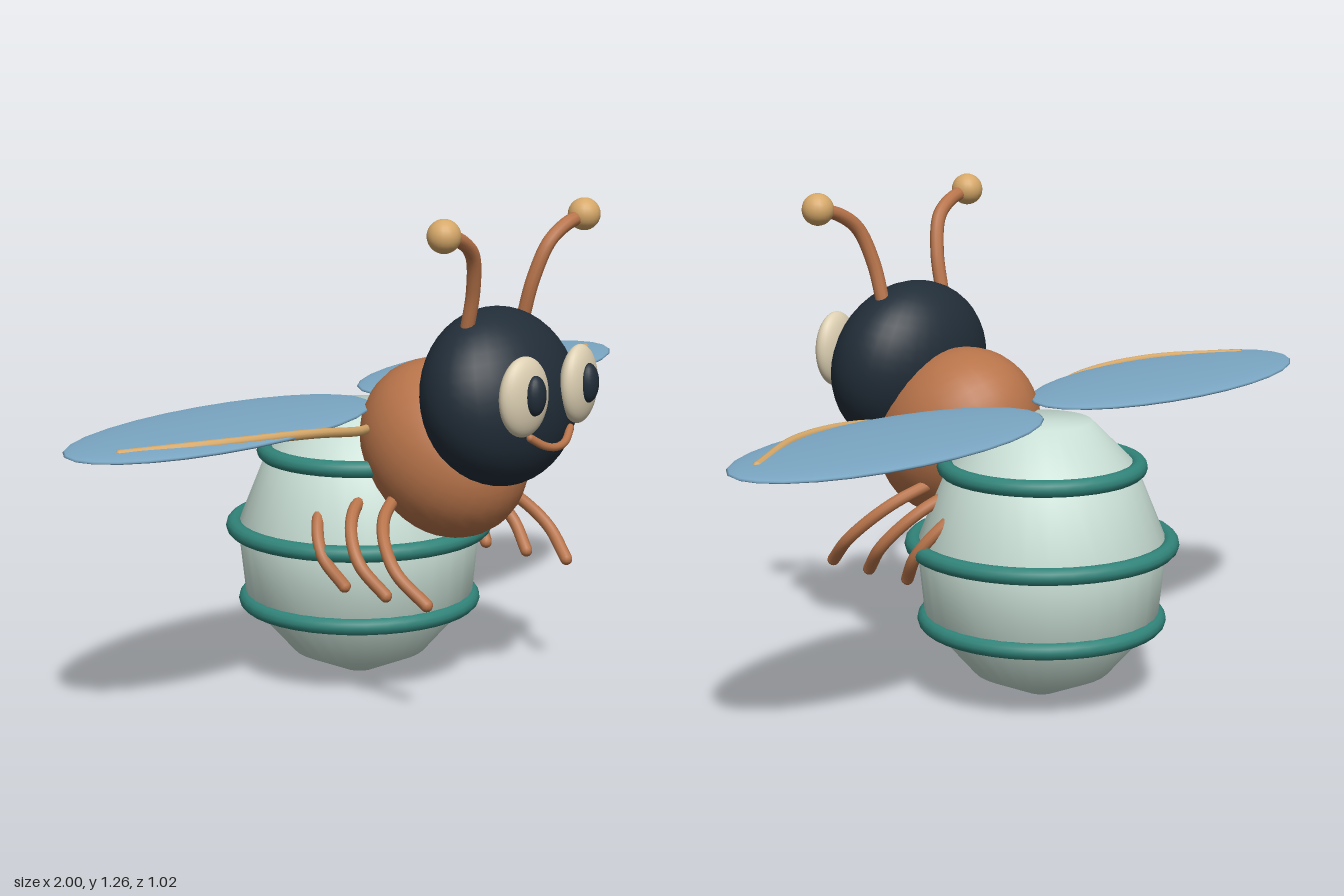
import * as THREE from 'three';

const material = (name, color) => Object.assign(new THREE.MeshStandardMaterial({ color }), { name });

export function createModel() {
  const bee = new THREE.Group();
  bee.name = 'bee';
  const mint = material('pale mint', 0xc9dfd5);
  const teal = material('teal', 0x31847a);
  const brown = material('copper brown', 0xb8744a);
  const navy = material('dark navy', 0x212d38);
  const cream = material('cream', 0xdccfb2);
  const blue = material('wing blue', 0x7aa6c3);
  const tan = material('tan', 0xd6a869);

  const add = (name, geometry, mat, pos = [0, 0, 0], rot = [0, 0, 0]) => {
    const mesh = new THREE.Mesh(geometry, mat);
    mesh.name = name;
    mesh.position.set(...pos);
    mesh.rotation.set(...rot);
    bee.add(mesh);
    return mesh;
  };
  const ellipsoid = (name, mat, radii, pos, rot, seg = 32) =>
    add(name, new THREE.SphereGeometry(1, seg, Math.round(seg * 0.7)), mat, pos, rot).scale.set(...radii);

  // Tube along a smooth path, closed with round ends
  const rod = (name, mat, points, radius) => {
    const path = new THREE.CatmullRomCurve3(points.map((p) => new THREE.Vector3(...p)));
    add(name, new THREE.TubeGeometry(path, 24, radius, 10), mat);
    for (const p of [points[0], points.at(-1)]) ellipsoid(name + 'End', mat, [radius, radius, radius], p, [0, 0, 0], 10);
  };

  // Abdomen with three bands
  const axisZ = -0.165;
  const profile = [[0, 0.003], [0.04, 0.003], [0.175, 0.063], [0.295, 0.2], [0.316, 0.4], [0.235, 0.6], [0.125, 0.71], [0, 0.71]];
  add('abdomen', new THREE.LatheGeometry(profile.map((p) => new THREE.Vector2(...p)), 32), mint, [0, 0, axisZ]);
  for (const [radius, y] of [[0.243, 0.594], [0.325, 0.397], [0.294, 0.2]]) {
    add('abdomenBand', new THREE.TorusGeometry(radius, 0.022, 12, 40), teal, [0, y, axisZ], [Math.PI / 2, 0, 0]);
  }

  // Thorax and head
  ellipsoid('thorax', brown, [0.2, 0.205, 0.24], [0, 0.638, 0.122], [Math.PI / 4, 0, 0]);
  ellipsoid('head', navy, [0.235, 0.222, 0.165], [0, 0.793, 0.297], [-0.2, 0, 0]);
  rod('mouth', brown, [[-0.08, 0.722, 0.455], [-0.04, 0.698, 0.471], [0, 0.691, 0.477], [0.04, 0.698, 0.471], [0.08, 0.722, 0.455]], 0.01);

  for (const s of [1, -1]) {
    const side = s > 0 ? 'left' : 'right';
    const mirror = (points) => points.map(([x, y, z]) => [s * x, y, z]);

    // Eyes
    ellipsoid(side + 'Eye', cream, [0.075, 0.098, 0.036], [s * 0.11, 0.828, 0.457], [0, s * 0.15, 0]);
    ellipsoid(side + 'Pupil', navy, [0.03, 0.049, 0.024], [s * 0.107, 0.834, 0.489], [0, s * 0.1, 0], 20);

    // Antennae
    rod(side + 'Antenna', brown, mirror([[0.11, 0.97, 0.282], [0.118, 1.07, 0.307], [0.15, 1.16, 0.33], [0.205, 1.2, 0.34], [0.27, 1.218, 0.345]]), 0.018);
    ellipsoid(side + 'AntennaTip', tan, [0.041, 0.041, 0.041], [s * 0.275, 1.22, 0.345], [0, 0, 0], 20);

    // Wings with a leading vein
    ellipsoid(side + 'Wing', blue, [0.485, 0.021, 0.215], [s * 0.515, 0.737, -0.146], [0, 0, 0], 28);
    rod(side + 'WingVein', tan, mirror([[0.13, 0.692, -0.01], [0.22, 0.703, 0.03], [0.42, 0.734, 0.06], [0.66, 0.747, 0.02], [0.9, 0.742, -0.1]]), 0.012);

    // Three legs reaching forward
    for (const [name, z, reach] of [['Front', 0.085, 0.215], ['Middle', -0.01, 0.18], ['Rear', -0.11, 0.145]]) {
      const leg = [[0.15, 0.53, 0], [0.23, 0.496, 0.16], [0.28, 0.45, 0.37], [0.305, 0.39, 0.65], [0.282, 0.32, 1]];
      rod(side + name + 'Leg', brown, mirror(leg.map(([x, y, t]) => [x, y, z + t * reach])), 0.016);
    }
  }
  return bee;
}
